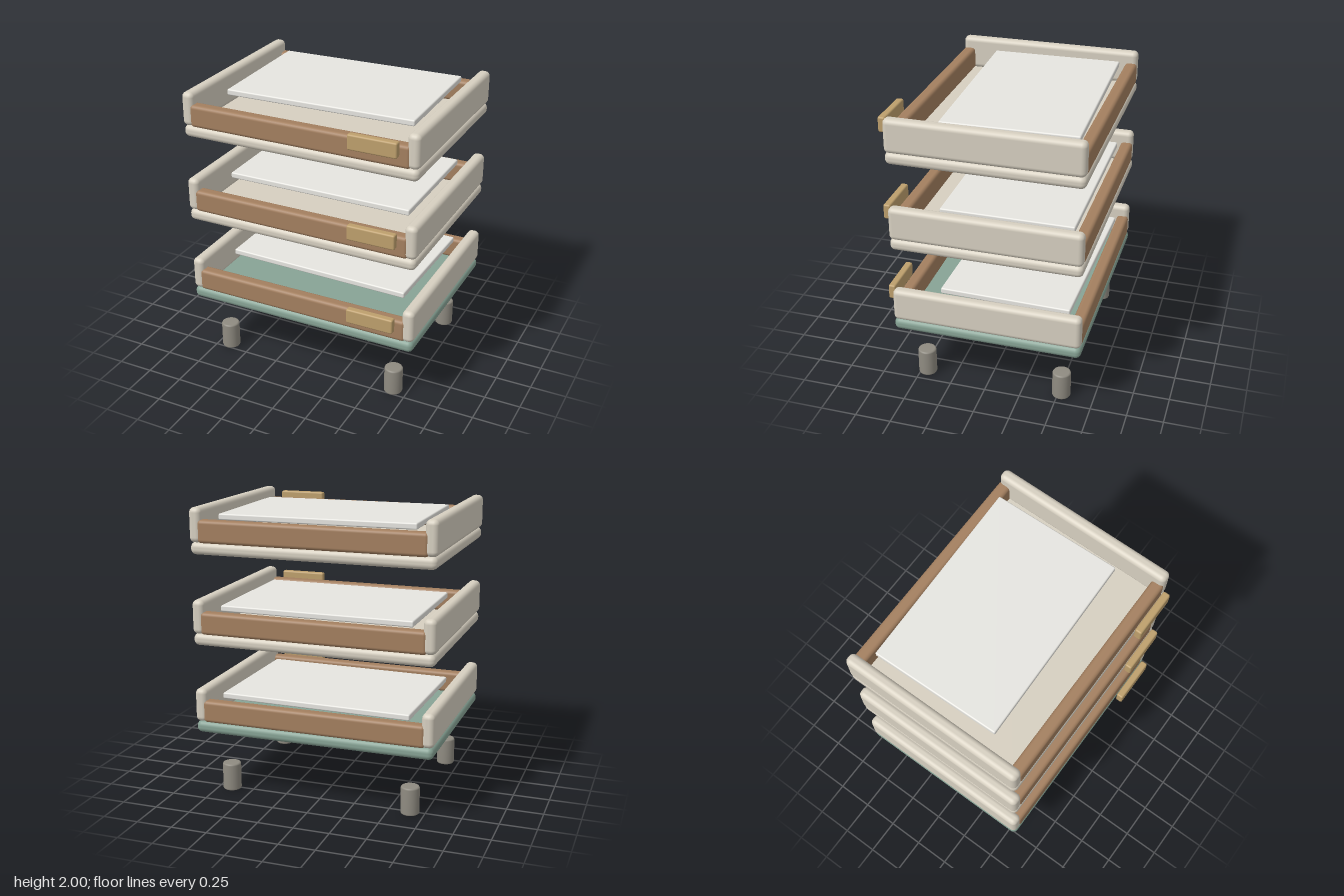
import * as THREE from 'three';
import { RoundedBoxGeometry } from 'three/addons/geometries/RoundedBoxGeometry.js';

const mat = (color) => new THREE.MeshStandardMaterial({ color });

export function createModel() {
  const shell = mat(0xd6cfc0), green = mat(0x87a395), wood = mat(0xa37f5f);
  const tan = mat(0xbd9f6c), paper = mat(0xe6e5e0), grey = mat(0x8f8b81);

  const model = new THREE.Group();
  model.name = 'stackedTrays';

  // Rounded box given by its size, radius and centre
  const box = (parent, name, material, [w, h, d], radius, [x, y, z]) => {
    const mesh = new THREE.Mesh(new RoundedBoxGeometry(w, h, d, 4, radius), material);
    mesh.name = name;
    mesh.position.set(x, y, z);
    parent.add(mesh);
    return mesh;
  };

  const trayZ = -0.037;
  const sheetTurns = [-0.024, 0, 0.024];

  // Three trays, one above the other
  sheetTurns.forEach((turn, i) => {
    const tray = new THREE.Group();
    tray.name = 'tray' + (i + 1);
    tray.position.y = 0.448 + i * 0.62;
    model.add(tray);

    box(tray, 'trayBase', i === 0 ? green : shell, [1.676, 0.084, 1.296], 0.036, [0, 0.042, trayZ]);
    for (const s of [-1, 1]) {
      box(tray, s > 0 ? 'leftWall' : 'rightWall', shell,
        [0.085, 0.232, 1.296], 0.034, [s * 0.8, 0.196, trayZ]);
      box(tray, s > 0 ? 'frontRail' : 'backRail', wood,
        [1.566, 0.154, 0.085], 0.025, [0, 0.155, trayZ + s * 0.6055]);
    }

    // Stack of paper, turned slightly
    const sheet = box(tray, 'paperStack', paper, [1.34, 0.042, 0.905], 0.01, [0, 0.249, -0.138]);
    sheet.rotation.y = turn;

    // Label plate in front of the rail
    box(tray, 'labelPlate', tan, [0.332, 0.104, 0.05], 0.012, [0.56, 0.22, 0.66]);
  });

  // Four round feet with softened rims
  const r = 0.064, h = 0.196, b = 0.012;
  const profile = [[0, 0], [r - b, 0], [r - b * 0.3, b * 0.3], [r, b],
    [r, h - b], [r - b * 0.3, h - b * 0.3], [r - b, h], [0, h]]
    .map(([x, y]) => new THREE.Vector2(x, y));
  const footGeometry = new THREE.LatheGeometry(profile, 32);
  for (const x of [-0.651, 0.651]) {
    for (const z of [0.451, -0.524]) {
      const foot = new THREE.Mesh(footGeometry, grey);
      foot.name = (z > 0 ? 'front' : 'back') + (x > 0 ? 'Left' : 'Right') + 'Foot';
      foot.position.set(x, 0, z);
      model.add(foot);
    }
  }
  return model;
}
